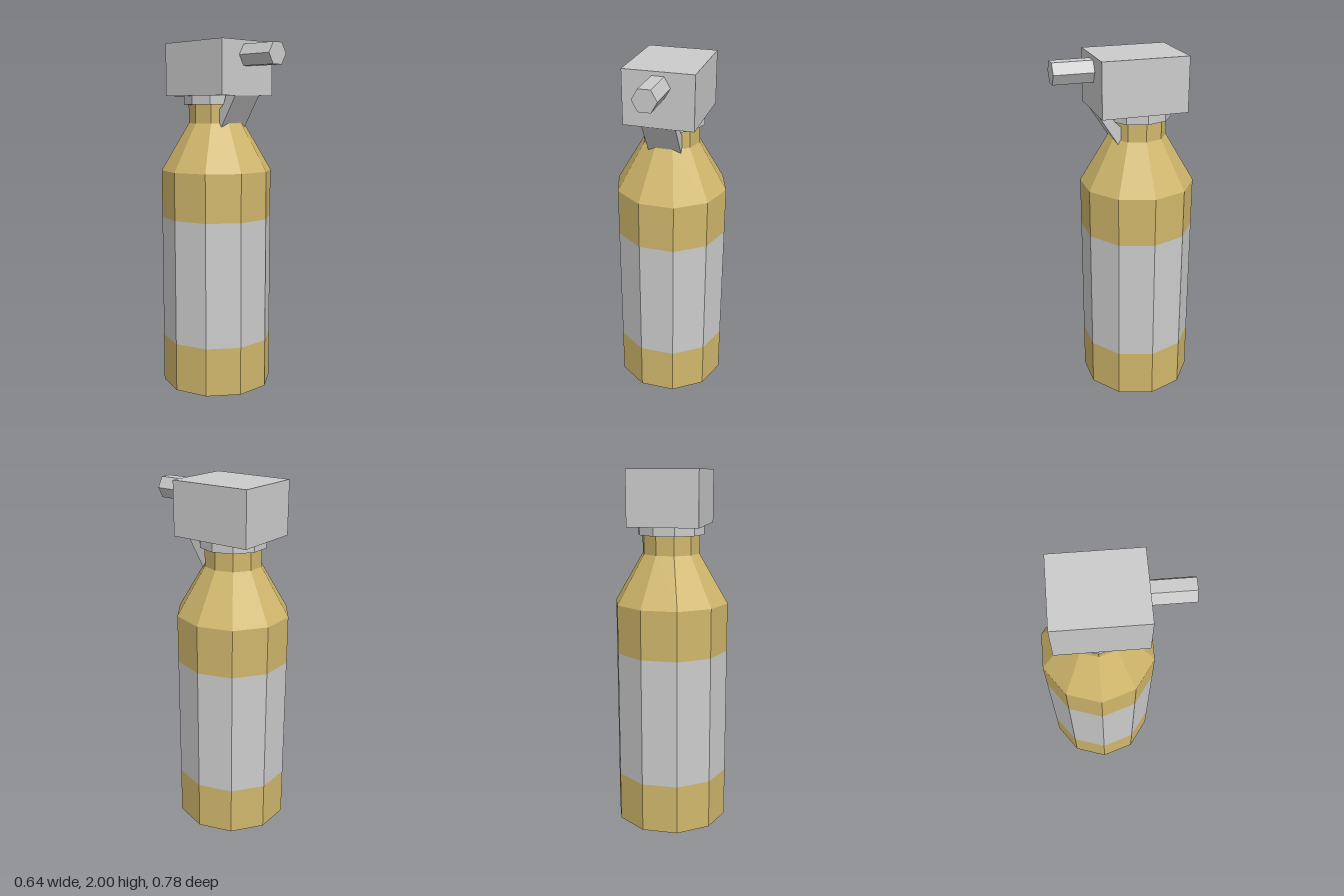
import * as THREE from 'three';

const SIDES = 10, AXIS_Z = -0.085, R = 0.322, NECK = 0.162;
const grey = new THREE.MeshStandardMaterial({ color: 0xcccccc, flatShading: true });
const gold = new THREE.MeshStandardMaterial({ color: 0xd0b76c, flatShading: true });

export function createModel() {
  const group = new THREE.Group();
  const add = (name, geometry, material, x = 0, y = 0, z = 0) => {
    const mesh = new THREE.Mesh(geometry, material);
    mesh.name = name;
    mesh.position.set(x, y, z);
    group.add(mesh);
  };
  // Ten-sided turned section, profile given from bottom to top
  const turned = (name, profile, material) => {
    const points = profile.map(([r, y]) => new THREE.Vector2(r, y));
    add(name, new THREE.LatheGeometry(points, SIDES, Math.PI / 2), material, 0, 0, AXIS_Z);
  };

  // Bottle: base, flush label band, shoulder and neck
  turned('bottleBase', [[0, 0], [R, 0], [R, 0.28]], gold);
  turned('labelBand', [[R, 0.28], [R, 1]], grey);
  turned('bottleShoulderAndNeck', [[R, 1], [R, 1.273], [NECK, 1.545], [NECK, 1.7]], gold);

  // Collar under the spray head
  turned('collar', [[NECK - 0.02, 1.65], [0.188, 1.65], [0.188, 1.7], [0, 1.7]], grey);

  // Spray head block
  add('sprayHead', new THREE.BoxGeometry(0.39, 0.3, 0.477), grey, 0, 1.85, -0.0685);

  // Six-sided nozzle pointing forward
  const nozzle = new THREE.CylinderGeometry(0.067, 0.067, 0.22, 6, 1, false, Math.PI / 2);
  nozzle.rotateX(Math.PI / 2);
  add('nozzle', nozzle, grey, 0, 1.919, 0.28);

  // Trigger: side profile (z, y) extruded across the width
  const profile = [[0.166, 1.7], [0.09, 1.7], [0.075, 1.657], [0.038, 1.622], [0.038, 1.552], [0.054, 1.525]];
  const shape = new THREE.Shape(profile.map(([z, y]) => new THREE.Vector2(z, y)));
  const trigger = new THREE.ExtrudeGeometry(shape, { depth: 0.186, bevelEnabled: false });
  trigger.translate(0, 0, -0.093).rotateY(-Math.PI / 2);
  add('trigger', trigger, grey);

  return group;
}
